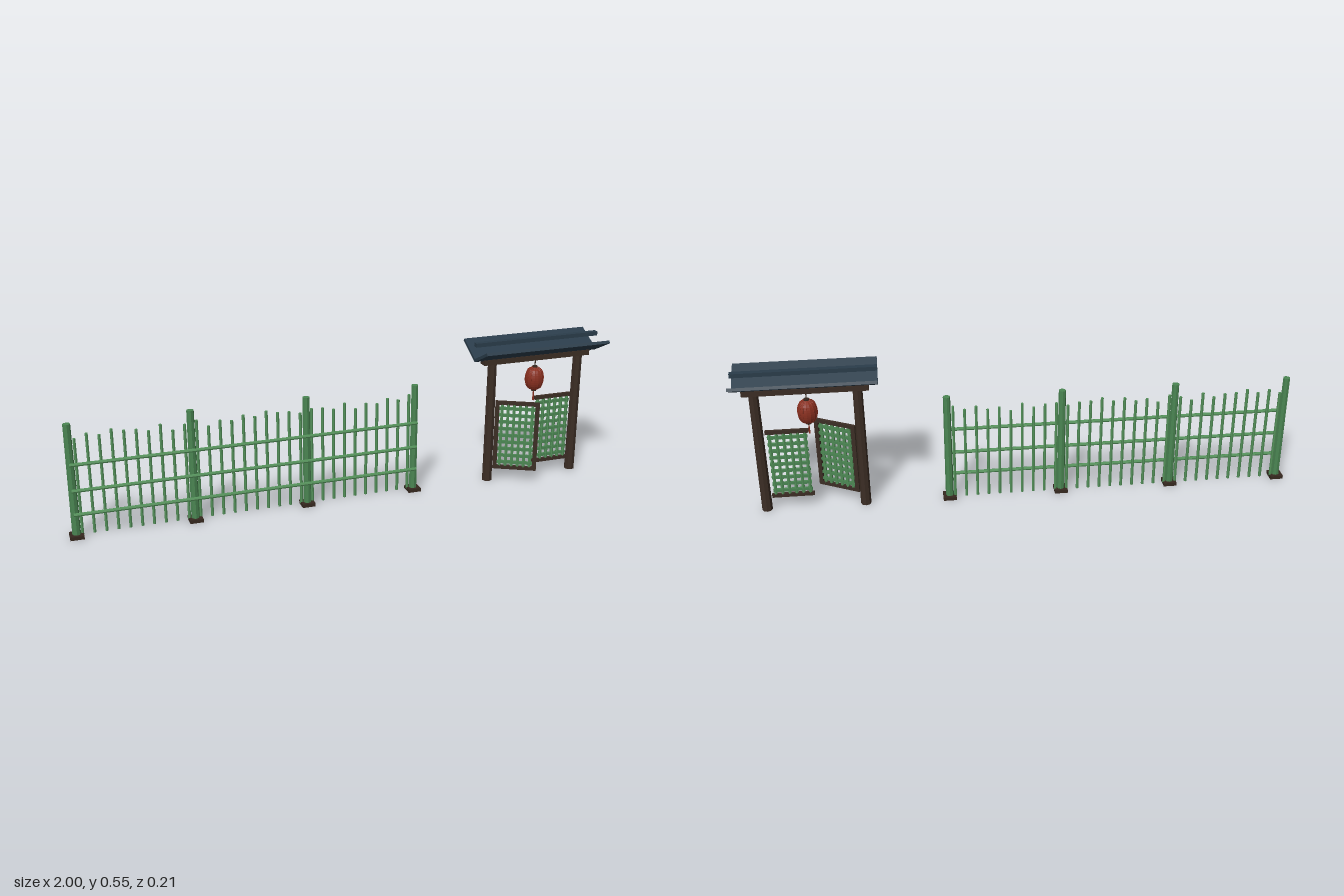
import * as THREE from 'three';

const mat = (name, color) => {
  const m = new THREE.MeshStandardMaterial({ color, flatShading: true });
  m.name = name;
  return m;
};

export function createModel() {
  const bamboo = mat('bamboo green', 0x4a8552);
  const lightBamboo = mat('light bamboo green', 0x528f58);
  const wood = mat('dark wood', 0x3b2d24);
  const footWood = mat('foot wood', 0x36281f);
  const slate = mat('slate blue', 0x2a3c4a);
  const red = mat('lantern red', 0x8a3020);

  const model = new THREE.Group();
  model.name = 'fenceAndGate';
  const add = (parent, name, geo, material, x, y, z) => {
    const mesh = new THREE.Mesh(geo, material);
    mesh.name = name;
    mesh.position.set(x, y, z);
    parent.add(mesh);
    return mesh;
  };
  const box = (w, h, d) => new THREE.BoxGeometry(w, h, d);
  const rod = (r, h, sides = 8, rTop = r) => new THREE.CylinderGeometry(rTop, r, h, sides);

  // Fence: posts on square feet
  const fence = new THREE.Group();
  fence.name = 'fence';
  model.add(fence);
  const x0 = -0.976, span = 0.4135;
  for (let i = 0; i < 4; i++) {
    const x = x0 + i * span;
    add(fence, 'postFoot', box(0.048, 0.013, 0.048), footWood, x, 0.0065, 0);
    add(fence, 'fencePost', rod(0.0148, 0.41, 8, 0.013), bamboo, x, 0.212, 0);
  }

  // Fence: uneven thin pickets, the outer ones close to the posts
  const heights = [0.36, 0.375, 0.365, 0.38, 0.37, 0.368, 0.358, 0.376, 0.35, 0.366];
  for (let i = 0; i < 3; i++) {
    for (let j = 0; j < 10; j++) {
      const h = heights[(j + i * 7) % 10] - 0.008;
      add(fence, 'picket', rod(0.0056, h, 6), lightBamboo, x0 + span * (i + (j + 0.5) / 10), 0.008 + h / 2, -0.005);
    }
    // Three rails in front of each span
    for (const y of [0.275, 0.18, 0.092]) {
      const rail = add(fence, 'fenceRail', rod(0.0066, span + 0.01), lightBamboo, x0 + span * (i + 0.5), y, 0.018);
      rail.rotation.z = Math.PI / 2;
    }
  }

  // Gate frame
  const gate = new THREE.Group();
  gate.name = 'gate';
  gate.position.x = 0.75;
  model.add(gate);
  for (const s of [-1, 1]) add(gate, 'gatePost', rod(0.019, 0.47, 8, 0.0172), wood, s * 0.178, 0.235, 0);
  add(gate, 'lintel', box(0.435, 0.02, 0.034), wood, 0, 0.476, 0);

  // Two roof slabs rising outwards, with a bar floating above the valley
  const slope = Math.atan2(0.052, 0.1);
  for (const s of [-1, 1]) {
    const slab = add(gate, 'roofSlab', box(0.5, 0.011, 0.114), slate, 0, 0.511, s * 0.05);
    slab.rotation.x = -s * slope;
  }
  add(gate, 'ridgeBar', box(0.5, 0.015, 0.021), slate, 0, 0.545, 0);

  // Lattice doors, built from the hinge towards the free edge
  const yLow = 0.047, yHigh = 0.32, yMid = (yLow + yHigh) / 2;
  const door = (name, side, hinge, length, angle, margin) => {
    const g = new THREE.Group();
    g.name = name;
    g.position.set(hinge, 0, 0.004);
    g.rotation.y = angle;
    gate.add(g);
    const at = (d) => -side * d;
    for (const y of [yLow + 0.007, yHigh - 0.007])
      add(g, 'doorRail', box(length, 0.014, 0.011), wood, at(length / 2), y, 0);
    for (let i = 0; i < 6; i++) {
      const d = margin + (i / 5) * (length - 2 * margin);
      add(g, 'latticeUpright', rod(0.0062, 0.25, 6), lightBamboo, at(d), yMid, 0);
    }
    for (let i = 0; i < 9; i++)
      add(g, 'latticeBar', box(length - 0.012, 0.0105, 0.0095), bamboo, at(length / 2), 0.075 + i * 0.027, 0);
    return g;
  };
  // The open door has stiles, the closed one only rails
  const openDoor = door('rightDoor', -1, -0.159, 0.165, -0.49, 0.026);
  for (const d of [0.008, 0.157])
    add(openDoor, 'doorStile', box(0.016, yHigh - yLow, 0.011), wood, d, yMid, 0);
  door('leftDoor', 1, 0.156, 0.152, 0, 0.014);

  // Lantern with upright ribs hanging from the lintel
  const lantern = new THREE.Group();
  lantern.name = 'lantern';
  lantern.position.y = 0.391;
  gate.add(lantern);
  const profile = [new THREE.Vector2(0, -0.044)];
  for (let i = 0; i <= 10; i++) {
    const t = -1 + i / 5;
    profile.push(new THREE.Vector2(0.01 + 0.0245 * Math.sqrt(1 - t * t), t * 0.044));
  }
  profile.push(new THREE.Vector2(0, 0.044));
  add(lantern, 'lanternBody', new THREE.LatheGeometry(profile, 16), red, 0, 0, 0);
  const ribPath = new THREE.CatmullRomCurve3(
    profile.slice(1, -1).map((p) => new THREE.Vector3(p.x, p.y, 0)));
  const ribGeo = new THREE.TubeGeometry(ribPath, 12, 0.0012, 5);
  for (let i = 0; i < 16; i++)
    add(lantern, 'lanternRib', ribGeo, red, 0, 0, 0).rotation.y = (i * Math.PI) / 8;
  for (const s of [-1, 1]) add(lantern, 'lanternCap', rod(0.01, 0.006, 10), footWood, 0, s * 0.046, 0);
  add(lantern, 'lanternCord', rod(0.002, 0.034, 6), footWood, 0, 0.061, 0);
  add(lantern, 'tassel', rod(0.0035, 0.042, 6, 0.002), red, 0, -0.067, 0);

  return model;
}
